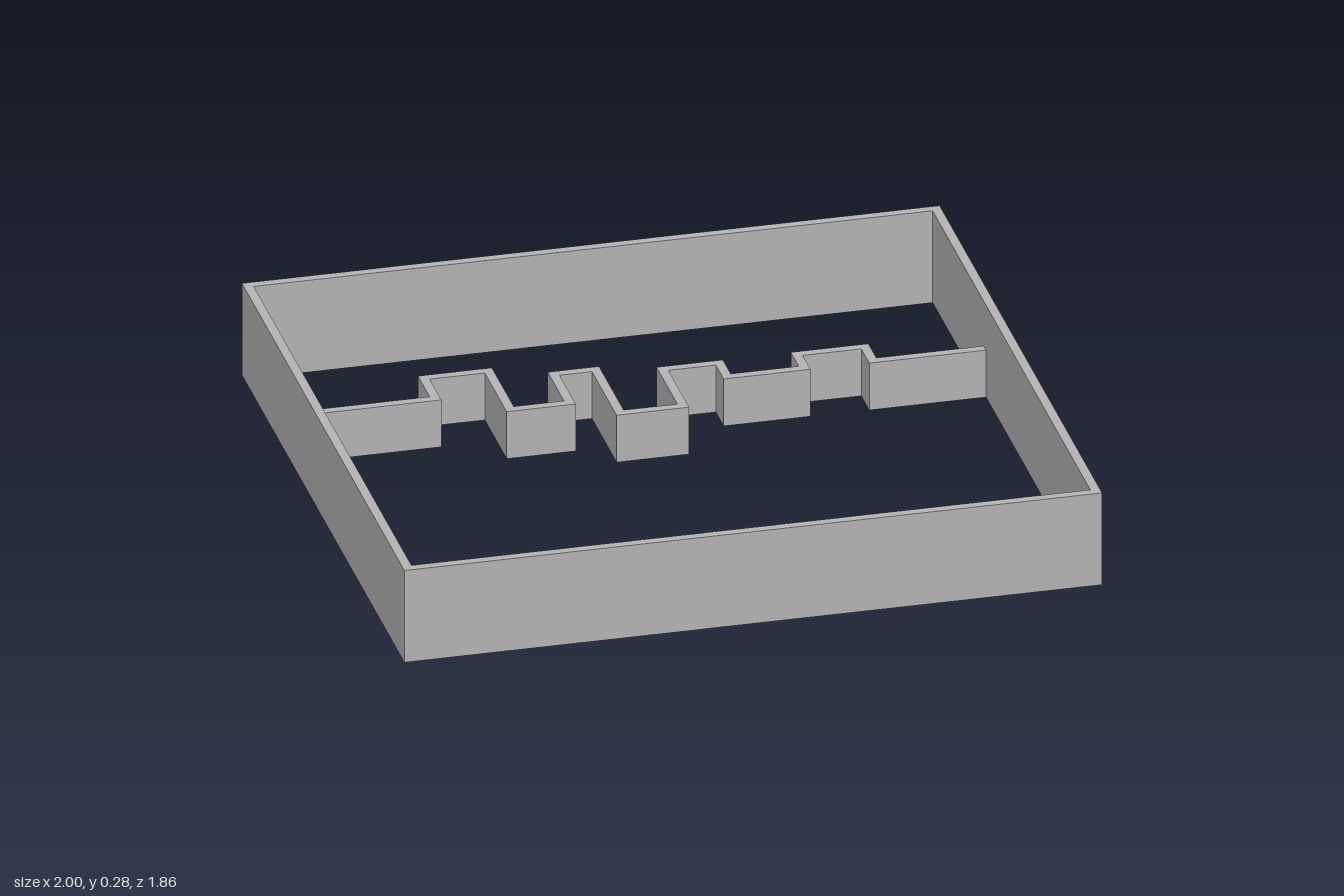
import * as THREE from 'three';

const T = 0.027; // wall thickness

// Extrude a plan drawn in (x, -z) upwards from the ground
function raise(shape, height) {
  const geometry = new THREE.ExtrudeGeometry(shape, { depth: height, bevelEnabled: false });
  return geometry.rotateX(-Math.PI / 2);
}

function rectangle(Type, x, z) {
  return new Type([[-x, -z], [x, -z], [x, z], [-x, z]].map(([a, b]) => new THREE.Vector2(a, b)));
}

// Band of even thickness along a path, with mitred right-angle corners
function band(points, thickness) {
  const normals = points.slice(1).map((p, i) => {
    const d = p.clone().sub(points[i]).normalize();
    return new THREE.Vector2(-d.y, d.x);
  });
  const side = (s) => points.map((p, i) => {
    const a = normals[Math.max(i - 1, 0)];
    const b = normals[Math.min(i, normals.length - 1)];
    const miter = a.clone().add(b).divideScalar(1 + a.dot(b));
    return p.clone().addScaledVector(miter, s * thickness / 2);
  });
  return new THREE.Shape([...side(-1), ...side(1).reverse()]);
}

export function createModel() {
  const group = new THREE.Group();
  const grey = new THREE.MeshStandardMaterial({ color: 0xb2b2b2 });
  grey.name = 'wall grey';

  const add = (name, geometry) => {
    const mesh = new THREE.Mesh(geometry, grey);
    mesh.name = name;
    group.add(mesh);
  };

  // Tall rectangular surround, open at top and bottom
  const frame = rectangle(THREE.Shape, 1, 0.928);
  frame.holes.push(rectangle(THREE.Path, 1 - T, 0.928 - T));
  add('outerFrame', raise(frame, 0.285));

  // Low zigzag partition: each run is [z, x where it ends]
  const runs = [
    [-0.37, -0.585], [-0.504, -0.4], [-0.254, -0.229], [-0.44, -0.109], [-0.158, 0.072],
    [-0.396, 0.235], [-0.306, 0.457], [-0.396, 0.652], [-0.304, 1 - T],
  ];
  const path = [];
  let x = -1 + T;
  for (const [z, end] of runs) {
    path.push(new THREE.Vector2(x, -z), new THREE.Vector2(end, -z));
    x = end;
  }
  add('zigzagPartition', raise(band(path, T), 0.146));

  return group;
}
